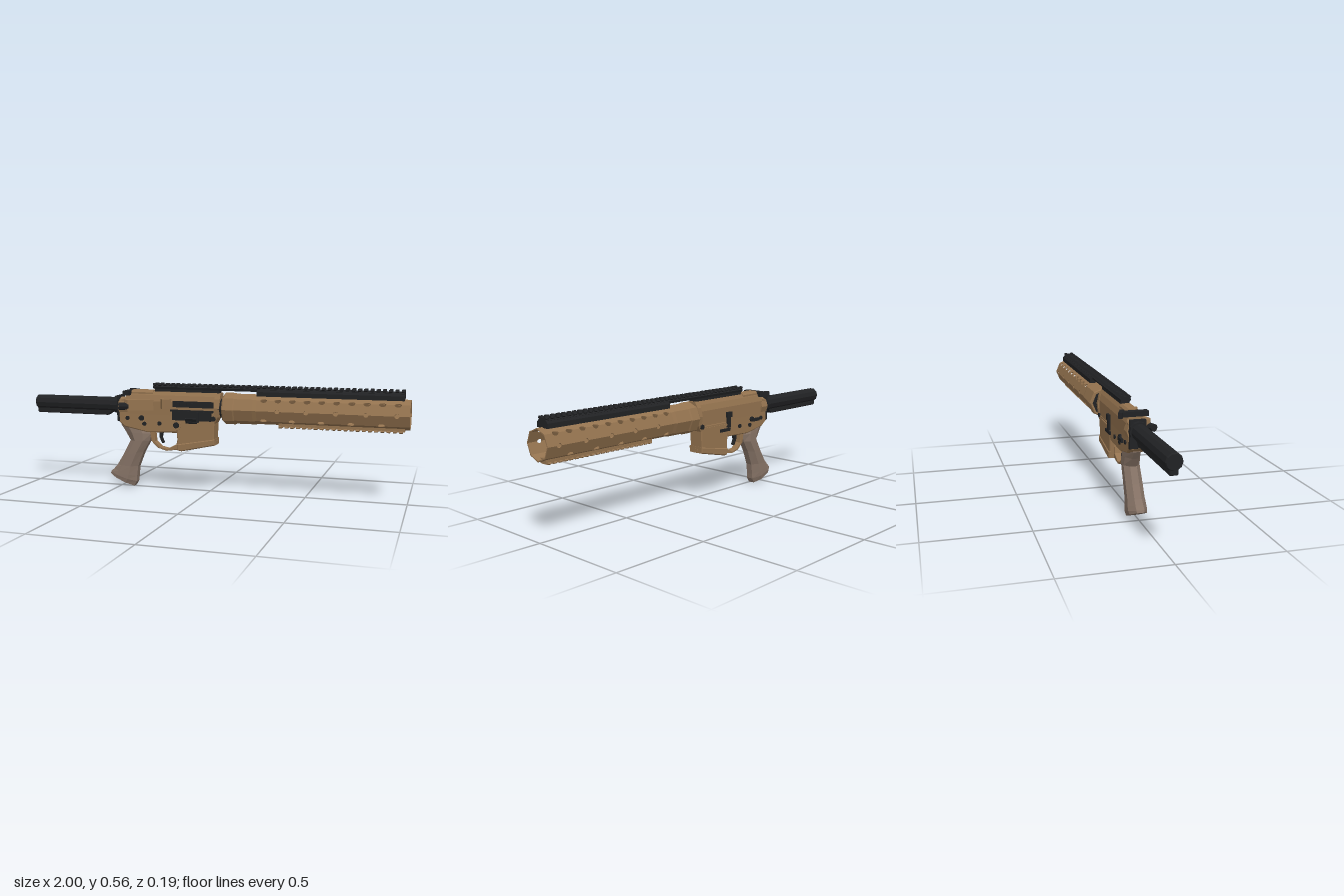
import * as THREE from 'three';

const mat = (name, color) => {
  const m = new THREE.MeshStandardMaterial({ color, side: THREE.DoubleSide });
  m.name = name;
  return m;
};

export function createModel() {
  const tan = mat('tan metal', 0x94734f);
  const black = mat('black metal', 0x212224);
  const gripMat = mat('taupe polymer', 0x857265);
  const root = new THREE.Group();
  const body = new THREE.Group();
  body.name = 'body';
  body.position.z = -0.0125;
  root.add(body);
  const AX = 0.438; // height of the bore axis

  // Adds a faceted mesh
  function add(name, geo, material) {
    const g = geo.index ? geo.toNonIndexed() : geo;
    g.computeVertexNormals();
    const m = new THREE.Mesh(g, material);
    m.name = name;
    body.add(m);
    return m;
  }
  const shapeOf = pts => new THREE.Shape(pts.map(p => new THREE.Vector2(p[0], p[1])));
  // Side outline (x, y) extruded across z with chamfered edges
  function side(name, pts, half, material, bevel = 0.005, hole = null) {
    const s = shapeOf(pts);
    if (hole) s.holes.push(new THREE.Path(hole.map(p => new THREE.Vector2(p[0], p[1]))));
    const g = new THREE.ExtrudeGeometry(s, {
      depth: 2 * (half - bevel), bevelEnabled: bevel > 0, bevelSize: bevel,
      bevelOffset: -bevel, bevelThickness: bevel, bevelSegments: 1,
    });
    g.translate(0, 0, bevel - half);
    return add(name, g, material);
  }
  // Symmetric cross-section, half given as (z, y), extruded along x
  function bar(name, half, x0, x1, material) {
    const pts = [...half, ...half.slice().reverse().map(([z, y]) => [-z, y])];
    const g = new THREE.ExtrudeGeometry(shapeOf(pts), { depth: x1 - x0, bevelEnabled: false });
    g.rotateY(Math.PI / 2).translate(x0, 0, 0);
    return add(name, g, material);
  }
  // Turned part along the bore axis, profile as (x, radius)
  function turned(name, prof, material, n = 8, y = AX) {
    const g = new THREE.LatheGeometry(prof.map(([x, r]) => new THREE.Vector2(r, x)), n);
    g.rotateZ(-Math.PI / 2).translate(0, y, 0);
    return add(name, g, material);
  }
  function box(name, x, y, z, w, h, d, material) {
    return add(name, new THREE.BoxGeometry(w, h, d).translate(x, y, z), material);
  }
  function pin(name, x, y, z, r, len, material) {
    return add(name, new THREE.CylinderGeometry(r, r, len, 10).rotateX(Math.PI / 2).translate(x, y, z), material);
  }

  // Handguard: eight panels with notches that pair into holes along the edges
  const R = 0.074, X0 = 0.25, X1 = 1;
  const row = (start, step, n) => Array.from({ length: n }, (_, i) => start + i * step);
  const dense = row(0.29, 0.0725, 10), mid = row(0.362, 0.1445, 5), low = row(0.29, 0.1445, 5);
  const holes = [mid, dense, [], dense, mid, low, [], low];
  const hw = R * Math.sin(Math.PI / 8), ap = R * Math.cos(Math.PI / 8);
  const rx = i => (i % 4 === 0 ? 0.012 : 0.017);
  for (let k = 0; k < 8; k++) {
    const s = new THREE.Shape();
    s.moveTo(X0, -hw);
    for (const x of holes[k]) {
      s.lineTo(x - rx(k), -hw);
      s.absellipse(x, -hw, rx(k), 0.012, Math.PI, 0, true);
    }
    s.lineTo(X1, -hw);
    s.lineTo(X1, hw);
    const j = (k + 1) % 8;
    for (const x of [...holes[j]].reverse()) {
      s.lineTo(x + rx(j), hw);
      s.absellipse(x, hw, rx(j), 0.012, 0, Math.PI, true);
    }
    s.lineTo(X0, hw);
    const g = new THREE.ExtrudeGeometry(s, { depth: 0.005, bevelEnabled: false, curveSegments: 5 });
    g.translate(0, 0, ap - 0.005).rotateX(-(k + 0.5) * Math.PI / 4).translate(0, AX, 0);
    add('handguardPanel', g, tan);
  }
  turned('handguardCollar', [[0.075, 0.066], [0.075, 0.076], [0.082, 0.081], [0.133, 0.081],
    [0.14, 0.077], [0.235, 0.077], [0.255, R], [0.255, 0.067]], tan);
  turned('collarBackPlate', [[0.08, 0], [0.08, 0.068], [0.088, 0.068], [0.088, 0]], black);
  turned('barrelNutRing', [[0.085, 0.045], [0.1, 0.045], [0.1, 0.039], [0.085, 0.039]], tan);
  turned('barrelNut', [[0.05, 0], [0.05, 0.05], [0.075, 0.05], [0.075, 0.038], [0.096, 0.036], [0.096, 0.016],
    [0.11, 0.014], [0.11, 0]], black, 12);

  // Top rail with cross slots
  bar('topRailBase', [[0.022, 0.529], [0.027, 0.541], [0.017, 0.548]], -0.31, 0.97, black);
  bar('railRiser', [[0.037, 0.508], [0.037, 0.53], [0.028, 0.54]], 0.25, 0.97, black);
  bar('receiverRailFoot', [[0.022, 0.512], [0.022, 0.53]], -0.3, 0.05, black);
  for (let i = 0; i < 44; i++) {
    const x = -0.31 + i * 0.0294;
    bar('topRailTooth', [[0.018, 0.542], [0.029, 0.55], [0.022, 0.558], [0.013, 0.558], [0.009, 0.552]],
      x, x + 0.016, black);
  }
  // Lower rail
  bar('lowerRailBase', [[0.024, 0.357], [0.024, 0.378]], 0.36, 0.975, tan);
  for (let i = 0; i < 21; i++) {
    const x = 0.362 + i * 0.0294;
    bar('lowerRailTooth', [[0.022, 0.35], [0.028, 0.355], [0.024, 0.361]], x, x + 0.016, tan);
  }

  // Upper receiver
  bar('upperReceiver', [[0.04, 0.395], [0.042, 0.465], [0.032, 0.497], [0.022, 0.516]], -0.46, 0.055, tan);
  bar('receiverRearTop', [[0.03, 0.49], [0.03, 0.51], [0.02, 0.521]], -0.43, -0.31, tan);
  bar('receiverFrontRing', [[0.044, 0.395], [0.05, 0.44], [0.04, 0.485], [0.022, 0.516]], 0.03, 0.058, tan);
  // Side port, bolt and open dust cover
  box('sidePort', -0.085, 0.455, 0.042, 0.22, 0.032, 0.006, black);
  for (let i = 0; i < 5; i++) box('portRib', -0.165 + i * 0.04, 0.455, 0.046, 0.016, 0.016, 0.006, black);
  box('dustCover', -0.09, 0.395, 0.05, 0.21, 0.045, 0.012, black);
  box('dustCoverHinge', -0.09, 0.421, 0.048, 0.23, 0.01, 0.012, black);
  box('dustCoverLatch', -0.08, 0.392, 0.056, 0.06, 0.055, 0.012, black);
  const lip = box('dustCoverLip', 0, 0, 0, 0.06, 0.03, 0.006, black);
  lip.position.set(-0.09, 0.372, 0.06);
  lip.rotation.x = 0.5;
  // Deflector and forward assist
  const wedge = (name, pts, y, h, material) => {
    const g = new THREE.ExtrudeGeometry(shapeOf(pts), { depth: h, bevelEnabled: false });
    return add(name, g.rotateX(Math.PI / 2).translate(0, y + h / 2, 0), material);
  };
  wedge('deflector', [[-0.27, 0.03], [-0.24, 0.08], [-0.225, 0.08], [-0.2, 0.03]], 0.455, 0.05, tan);
  wedge('forwardAssistHousing', [[-0.45, 0.03], [-0.455, 0.075], [-0.43, 0.085], [-0.3, 0.04], [-0.3, 0.03]], 0.445, 0.055, tan);
  const assist = add('forwardAssist', new THREE.CylinderGeometry(0.019, 0.019, 0.05, 8).rotateZ(Math.PI / 2), black);
  assist.position.set(-0.455, AX, 0.079);
  assist.rotation.y = 0.35;
  // Charging handle
  box('chargingHandle', -0.45, 0.505, 0, 0.035, 0.024, 0.13, black);
  box('chargingHandleStem', -0.42, 0.5, 0, 0.07, 0.02, 0.05, black);
  const latch = box('chargingLatch', 0, 0, 0, 0.06, 0.028, 0.02, black);
  latch.position.set(-0.45, 0.505, -0.062);
  latch.rotation.y = -0.4;

  // Lower receiver and magazine well
  side('lowerReceiver', [[-0.5, 0.47], [-0.5, 0.35], [-0.47, 0.325], [-0.34, 0.3], [-0.18, 0.305],
    [-0.15, 0.36], [0.03, 0.36], [0.05, 0.4], [-0.42, 0.41], [-0.46, 0.48]], 0.04, tan);
  side('magazineWell', [[-0.18, 0.39], [-0.17, 0.22], [-0.15, 0.215], [0.025, 0.253], [0.03, 0.39]], 0.042, tan);
  side('magazineWellFlare', [[-0.172, 0.245], [-0.17, 0.212], [-0.15, 0.208], [0.03, 0.247], [0.03, 0.28]], 0.046, tan);
  const well = side('magazineOpening', [[-0.15, 0], [0.012, 0], [0.012, 0.003], [-0.15, 0.003]], 0.032, black, 0);
  well.position.set(-0.002, 0.239, 0);
  well.rotation.z = 0.213;
  box('magazineWellFrontNotch', 0.029, 0.257, 0, 0.006, 0.02, 0.034, tan);
  // Trigger guard and trigger
  side('triggerGuard', [[-0.335, 0.31], [-0.325, 0.25], [-0.29, 0.216], [-0.24, 0.202], [-0.16, 0.214], [-0.16, 0.31]],
    0.019, tan, 0.002, [[-0.31, 0.3], [-0.305, 0.25], [-0.275, 0.222], [-0.235, 0.214], [-0.185, 0.24], [-0.172, 0.3]]);
  side('trigger', [[-0.285, 0.31], [-0.283, 0.27], [-0.268, 0.24], [-0.258, 0.243], [-0.27, 0.272], [-0.262, 0.31]],
    0.009, black, 0.001);

  // Small controls and pins
  for (const [x, y] of [[-0.45, 0.372], [-0.355, 0.345], [-0.27, 0.35]]) {
    pin('receiverPin', x, y, 0, 0.011, 0.092, black);
  }
  pin('pivotPin', 0.025, 0.385, 0, 0.013, 0.094, black);
  pin('magazineReleaseBoss', -0.175, 0.345, 0.04, 0.026, 0.012, tan);
  pin('magazineRelease', -0.175, 0.345, 0.045, 0.016, 0.014, black);
  pin('selectorPivot', -0.37, 0.375, 0, 0.014, 0.1, black);
  box('selectorLever', -0.395, 0.37, -0.049, 0.06, 0.016, 0.012, black);
  box('boltCatch', -0.175, 0.395, -0.045, 0.022, 0.075, 0.014, black);
  box('boltCatchPaddle', -0.175, 0.425, -0.05, 0.036, 0.028, 0.014, black);
  box('magazineCatch', -0.15, 0.345, -0.044, 0.08, 0.016, 0.008, black);
  box('receiverRidge', -0.07, 0.372, -0.042, 0.19, 0.01, 0.008, tan);

  // Rear tube, castle nut and end plate
  turned('rearTube', [[-1, 0], [-1, 0.035], [-0.994, 0.039], [-0.5, 0.039]], black, 10);
  side('rearTubeFin', [[-0.998, 0.43], [-0.998, 0.385], [-0.99, 0.38], [-0.575, 0.38], [-0.54, 0.405], [-0.54, 0.43]],
    0.019, black, 0.004);
  turned('castleNut', [[-0.535, 0.038], [-0.535, 0.046], [-0.51, 0.046], [-0.51, 0.038]], black, 12);
  side('endPlate', [[-0.512, 0.49], [-0.512, 0.355], [-0.497, 0.35], [-0.497, 0.49]], 0.04, black, 0.003);
  turned('receiverRing', [[-0.5, 0], [-0.5, 0.05], [-0.45, 0.05], [-0.45, 0]], tan, 10, 0.432);

  // Grip: octagonal prism whose rings follow sections (back x, y, front x, y, half width)
  const sections = [
    [-0.5, 0.335, -0.335, 0.31, 0.034], [-0.472, 0.295, -0.325, 0.29, 0.037], [-0.445, 0.25, -0.337, 0.25, 0.039],
    [-0.485, 0.175, -0.372, 0.19, 0.041], [-0.522, 0.115, -0.404, 0.11, 0.042], [-0.542, 0.092, -0.411, 0.055, 0.045],
    [-0.56, 0.075, -0.413, 0.028, 0.046], [-0.565, 0.064, -0.428, 0.002, 0.042],
  ];
  const rows = sections.length - 1, gr = 1 / Math.cos(Math.PI / 8);
  const grip = new THREE.CylinderGeometry(gr, gr, 1, 8, rows, false, Math.PI / 8);
  const p = grip.attributes.position;
  for (let i = 0; i < p.count; i++) {
    const [bx, by, fx, fy, w] = sections[Math.round((0.5 - p.getY(i)) * rows)];
    const t = 0.5 + 0.5 * p.getX(i);
    p.setXYZ(i, bx + (fx - bx) * t, by + (fy - by) * t, p.getZ(i) * w);
  }
  add('grip', grip, gripMat);

  return root;
}
